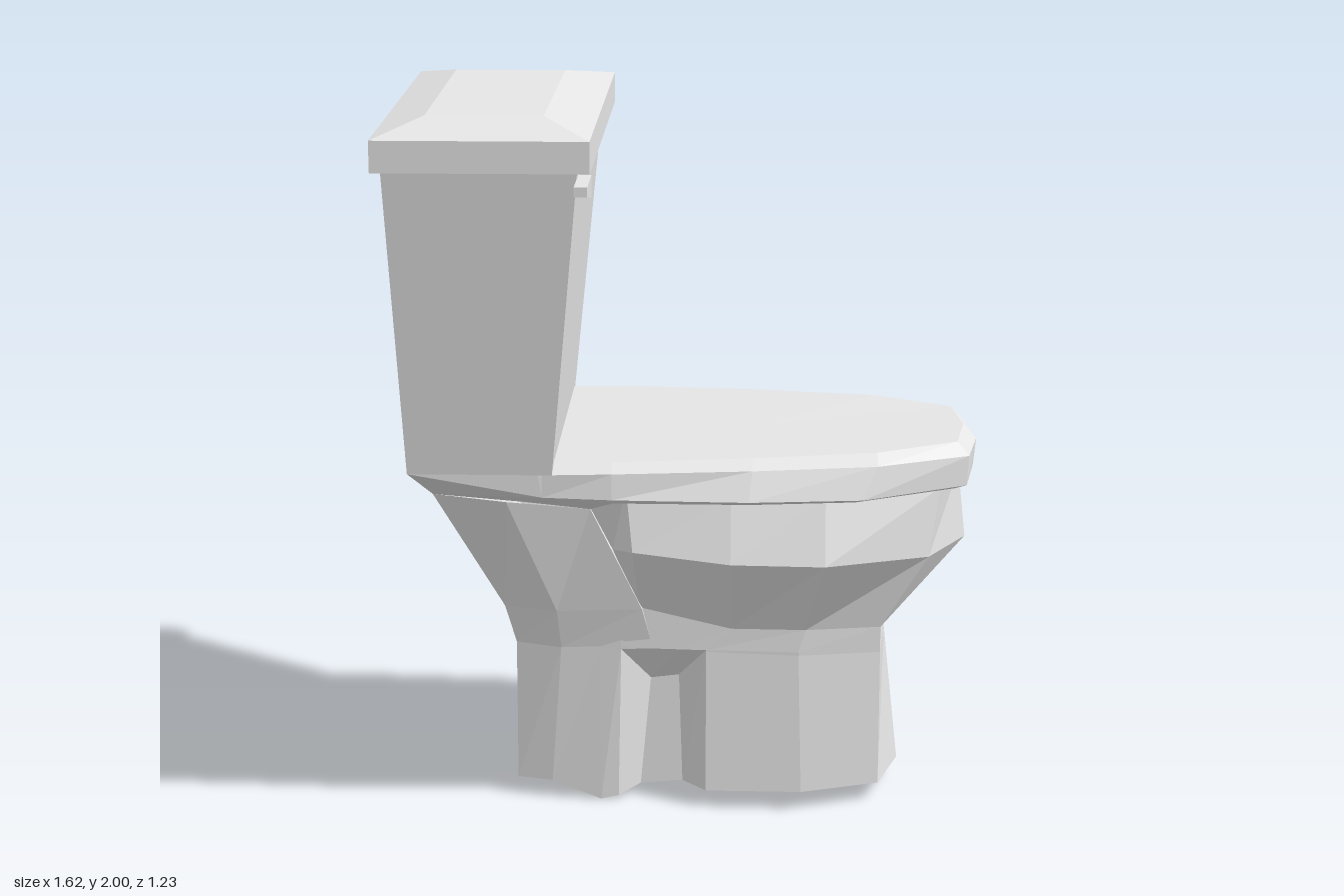
import * as THREE from 'three';

const CZ = -0.035; // symmetry plane of the whole fixture

// Each ring lists one half [x, halfWidth, y] from back to front; the other half is mirrored.
function fullRing(half) {
  const near = half.map(([x, h, y]) => [x, y, CZ + h]);
  const far = half.filter((p) => p[1] > 0).reverse().map(([x, h, y]) => [x, y, CZ - h]);
  return near.concat(far);
}

// Skins rings from bottom to top, with optional end caps.
function loft(halves, capBottom = true, capTop = true) {
  const rings = halves.map(fullRing);
  const n = rings[0].length;
  const pos = [];
  const tri = (a, b, c) => pos.push(...a, ...b, ...c);
  for (let r = 0; r + 1 < rings.length; r++) {
    for (let i = 0; i < n; i++) {
      const j = (i + 1) % n;
      tri(rings[r][i], rings[r][j], rings[r + 1][j]);
      tri(rings[r][i], rings[r + 1][j], rings[r + 1][i]);
    }
  }
  const cap = (ring, up) => {
    const c = [0, 1, 2].map((k) => ring.reduce((s, p) => s + p[k], 0) / n);
    for (let i = 0; i < n; i++) {
      const j = (i + 1) % n;
      if (up) tri(c, ring[i], ring[j]);
      else tri(c, ring[j], ring[i]);
    }
  };
  if (capBottom) cap(rings[0], false);
  if (capTop) cap(rings[rings.length - 1], true);
  const g = new THREE.BufferGeometry();
  g.setAttribute('position', new THREE.Float32BufferAttribute(pos, 3));
  g.computeVertexNormals();
  return g;
}

const box = (x0, x1, h, y) => [[x0, h, y], [x1, h, y]];

export function createModel() {
  const group = new THREE.Group();
  const porcelain = new THREE.MeshStandardMaterial({ color: 0xe6e6e6, flatShading: true, side: THREE.DoubleSide });
  porcelain.name = 'porcelain';
  const add = (name, geometry) => {
    const m = new THREE.Mesh(geometry, porcelain);
    m.name = name;
    group.add(m);
  };

  // Tapered water tank and its bevelled lid
  add('tank', loft([
    box(-0.755, -0.362, 0.445, 1.03),
    box(-0.79, -0.277, 0.552, 1.885),
  ]));
  add('tankLid', loft([
    box(-0.815, -0.243, 0.577, 1.88),
    box(-0.815, -0.243, 0.577, 1.965),
    box(-0.69, -0.375, 0.39, 2.0),
  ]));

  // Flush lever, tapering to its tip
  const lever = new THREE.Shape([
    new THREE.Vector2(-0.44, 1.8), new THREE.Vector2(-0.44, 1.86),
    new THREE.Vector2(-0.615, 1.86), new THREE.Vector2(-0.615, 1.835),
  ]);
  const leverGeo = new THREE.ExtrudeGeometry(lever, { depth: 0.035, bevelEnabled: false });
  leverGeo.rotateY(Math.PI / 2).translate(-0.28, 0, 0);
  add('flushLever', leverGeo);

  // Closed seat cover, sides leaning in towards a bevelled top
  add('seatCover', loft([
    [[-0.39, 0.41, 0.95], [-0.2, 0.42, 0.945], [0.17, 0.39, 0.935], [0.46, 0.34, 0.93], [0.74, 0.17, 0.922], [0.77, 0, 0.92]],
    [[-0.39, 0.445, 0.967], [-0.2, 0.457, 0.965], [0.17, 0.442, 0.957], [0.48, 0.388, 0.95], [0.772, 0.2, 0.94], [0.8, 0, 0.94]],
    [[-0.39, 0.445, 1.03], [-0.2, 0.447, 1.035], [0.18, 0.405, 1.035], [0.52, 0.35, 1.035], [0.777, 0.2, 1.025], [0.808, 0, 1.02]],
    [[-0.39, 0.4, 1.055], [-0.2, 0.405, 1.057], [0.18, 0.365, 1.06], [0.52, 0.305, 1.062], [0.745, 0.185, 1.062], [0.77, 0, 1.062]],
  ]));

  // Shelf under the tank, sloping in to the neck
  add('tankShelf', loft([
    [[-0.7, 0.33, 0.94], [-0.45, 0.3, 0.91], [-0.27, 0.28, 0.885]],
    [[-0.755, 0.445, 1.03], [-0.39, 0.445, 0.967], [-0.18, 0.435, 0.955]],
    [[-0.755, 0.445, 1.03], [-0.4, 0.445, 1.03], [-0.365, 0.44, 1.03]],
  ]));

  // Neck leaning back from the pedestal to the tank
  add('neck', loft([
    [[-0.49, 0.17, 0.455], [-0.36, 0.215, 0.455], [-0.1, 0.225, 0.455]],
    [[-0.52, 0.19, 0.57], [-0.37, 0.235, 0.57], [-0.13, 0.24, 0.58]],
    [[-0.7, 0.33, 0.94], [-0.5, 0.32, 0.915], [-0.27, 0.28, 0.885]],
  ], false, false));

  // Bowl flaring out and back in under the seat, its rear wall joined to the neck
  add('bowl', loft([
    [[-0.14, 0.22, 0.58], [-0.135, 0.225, 0.58], [0.12, 0.24, 0.525], [0.33, 0.245, 0.525], [0.54, 0.21, 0.525], [0.55, 0, 0.51]],
    [[-0.21, 0.255, 0.76], [-0.15, 0.36, 0.785], [0.12, 0.4, 0.765], [0.38, 0.38, 0.755], [0.67, 0.23, 0.74], [0.782, 0, 0.73]],
    [[-0.27, 0.27, 0.885], [-0.17, 0.3, 0.955], [0.12, 0.335, 0.945], [0.38, 0.32, 0.94], [0.7, 0.19, 0.93], [0.76, 0, 0.93]],
  ], false, true));

  // Hollow pedestal with a notch on each side and an uneven foot
  add('pedestal', loft([
    [[-0.49, 0.185, 0.05], [-0.39, 0.21, 0.05], [-0.25, 0.225, 0.0], [-0.2, 0.22, 0.01], [-0.14, 0.15, 0.02], [-0.02, 0.15, 0.03],
      [0.05, 0.275, 0.05], [0.32, 0.29, 0.055], [0.54, 0.2, 0.05], [0.6, 0, 0.05]],
    [[-0.49, 0.17, 0.455], [-0.36, 0.215, 0.455], [-0.25, 0.22, 0.455], [-0.19, 0.225, 0.455], [-0.11, 0.14, 0.34], [-0.03, 0.14, 0.35],
      [0.05, 0.24, 0.455], [0.31, 0.25, 0.45], [0.54, 0.21, 0.45], [0.557, 0, 0.45]],
    [[-0.49, 0.17, 0.46], [-0.36, 0.215, 0.46], [-0.25, 0.22, 0.46], [-0.19, 0.225, 0.46], [-0.11, 0.23, 0.46], [-0.03, 0.235, 0.46],
      [0.05, 0.24, 0.46], [0.31, 0.25, 0.46], [0.54, 0.21, 0.46], [0.556, 0, 0.46]],
    [[-0.49, 0.165, 0.5], [-0.36, 0.21, 0.52], [-0.25, 0.22, 0.55], [-0.19, 0.225, 0.57], [-0.11, 0.225, 0.58], [-0.03, 0.23, 0.56],
      [0.12, 0.24, 0.525], [0.33, 0.245, 0.525], [0.54, 0.21, 0.525], [0.55, 0, 0.51]],
  ], false, false));

  return group;
}
